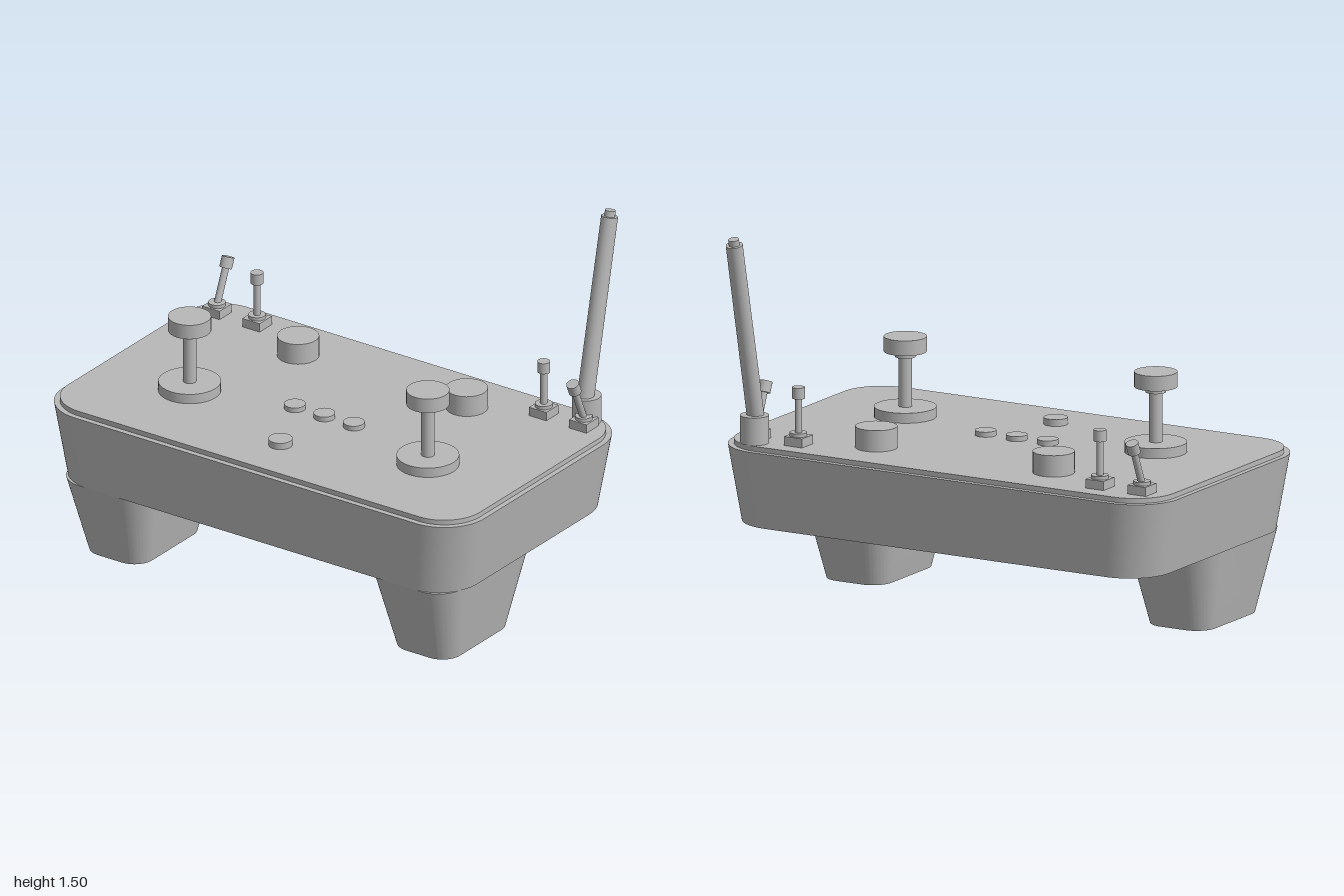
import * as THREE from 'three';
import { toCreasedNormals } from 'three/addons/utils/BufferGeometryUtils.js';

const grey = new THREE.MeshStandardMaterial({ color: 0xb8b8b8 });
grey.name = 'light grey';

const DECK = 0.655;

function add(parent, name, geometry, x = 0, y = 0, z = 0) {
  const mesh = new THREE.Mesh(geometry, grey);
  mesh.name = name;
  mesh.position.set(x, y, z);
  parent.add(mesh);
  return mesh;
}

// Upright cylinder standing on y
function cylinder(parent, name, r, h, x, y, z, rTop = r) {
  return add(parent, name, new THREE.CylinderGeometry(rTop, r, h, 32), x, y + h / 2, z);
}

// Rounded block standing on y = 0, full size at the top, scaled down at the bottom
function taperedBlock(w, d, h, r, bottomScale) {
  const a = w / 2, b = d / 2;
  const s = new THREE.Shape();
  s.moveTo(-a + r, -b);
  s.lineTo(a - r, -b);
  s.absarc(a - r, -b + r, r, -Math.PI / 2, 0);
  s.lineTo(a, b - r);
  s.absarc(a - r, b - r, r, 0, Math.PI / 2);
  s.lineTo(-a + r, b);
  s.absarc(-a + r, b - r, r, Math.PI / 2, Math.PI);
  s.lineTo(-a, -b + r);
  s.absarc(-a + r, -b + r, r, Math.PI, Math.PI * 1.5);
  const geo = new THREE.ExtrudeGeometry(s, { depth: h, bevelEnabled: false, curveSegments: 10 });
  geo.rotateX(-Math.PI / 2);
  const p = geo.attributes.position;
  for (let i = 0; i < p.count; i++) {
    const k = THREE.MathUtils.lerp(bottomScale, 1, p.getY(i) / h);
    p.setXYZ(i, p.getX(i) * k, p.getY(i), p.getZ(i) * k);
  }
  return toCreasedNormals(geo, 0.5);
}

function joystick(x, z) {
  const g = new THREE.Group();
  g.name = 'joystick';
  g.position.set(x, DECK, z);
  cylinder(g, 'joystickBase', 0.122, 0.04, 0, 0, 0);
  cylinder(g, 'joystickStem', 0.026, 0.21, 0, 0.03, 0);
  cylinder(g, 'joystickCollar', 0.04, 0.022, 0, 0.237, 0);
  cylinder(g, 'joystickCap', 0.084, 0.06, 0, 0.259, 0);
  return g;
}

function toggleSwitch(x, tilt) {
  const g = new THREE.Group();
  g.name = 'toggleSwitch';
  g.position.set(x, DECK, -0.4);
  add(g, 'switchBase', new THREE.BoxGeometry(0.082, 0.036, 0.082), 0, 0.018, 0);
  cylinder(g, 'switchCollar', 0.034, 0.014, 0, 0.036, 0);
  const lever = new THREE.Group();
  lever.name = 'switchLever';
  lever.position.y = 0.036;
  lever.rotation.x = tilt;
  cylinder(lever, 'leverStem', 0.014, 0.15, 0, 0, 0);
  cylinder(lever, 'leverTip', 0.025, 0.045, 0, 0.149, 0);
  g.add(lever);
  return g;
}

export function createModel() {
  const model = new THREE.Group();
  model.name = 'remoteControl';

  // Housing and raised top panel
  add(model, 'housing', taperedBlock(2, 1.175, 0.305, 0.19, 0.95), 0, 0.33, 0.0525);
  add(model, 'topPanel', taperedBlock(1.955, 1.13, 0.02, 0.17, 1), 0, 0.635, 0.0525);

  // Mirrored grips, joysticks and dials
  for (const side of [-1, 1]) {
    add(model, 'grip', taperedBlock(0.4, 0.636, 0.33, 0.12, 0.7), side * 0.73, 0, 0.292);
    model.add(joystick(side * 0.565, 0.215));
    cylinder(model, 'dial', 0.082, 0.085, side * 0.4, DECK, -0.28);
    model.add(toggleSwitch(side * 0.68, 0));
    model.add(toggleSwitch(side * 0.87, side * 0.4));
  }

  // Push buttons
  for (const x of [-0.14, 0, 0.14]) cylinder(model, 'button', 0.042, 0.02, x, DECK, 0.11);
  cylinder(model, 'powerButton', 0.047, 0.027, 0, DECK, 0.405);

  // Leaning antenna in its socket
  cylinder(model, 'antennaSocket', 0.057, 0.11, 0.845, DECK, -0.455);
  const antenna = new THREE.Group();
  antenna.name = 'antenna';
  antenna.position.set(0.845, 0.7, -0.434);
  antenna.rotation.x = -0.222;
  cylinder(antenna, 'antennaRod', 0.034, 0.793, 0, 0, 0, 0.033);
  cylinder(antenna, 'antennaTip', 0.021, 0.024, 0, 0.793, 0);
  model.add(antenna);

  return model;
}
